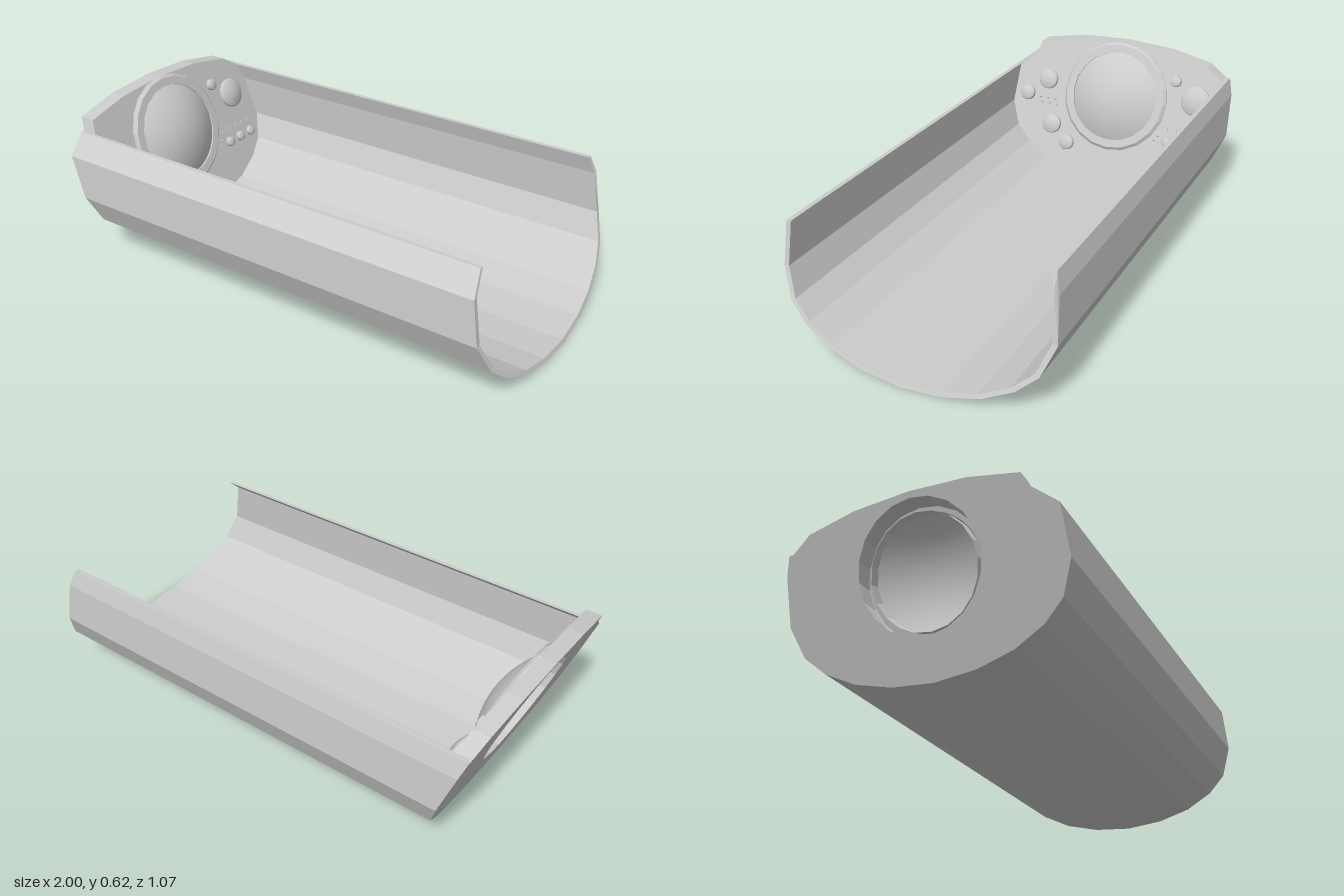
import * as THREE from 'three';

const LEAN = 0.355;                    // how far the ends lean back per unit of height
const TILT = Math.atan(LEAN);
const COS = Math.cos(TILT), SIN = Math.sin(TILT);
const PANEL = 0.064;                   // panel thickness along x
const leftEnd = (y) => -0.78 - LEAN * y;

// Open end of the trough: x against height
const END = [[0, 1], [0.2, 0.92], [0.29, 0.89], [0.455, 0.865], [0.52, 0.84]];
function rightEnd(y) {
  let i = 1;
  while (i < END.length - 1 && y > END[i][0]) i++;
  const [y0, x0] = END[i - 1], [y1, x1] = END[i];
  return x0 + (x1 - x0) * (y - y0) / (y1 - y0);
}

// Half of the lower cross-section as [z, y], from side wall to keel
const HALF = [[0.525, 0.45], [0.535, 0.28], [0.49, 0.17], [0.415, 0.105], [0.3, 0.05], [0.16, 0.016]];
const OUTER = [
  [0.44, 0.517], ...HALF, [0, 0.003],
  ...HALF.map(([z, y]) => [-z, y]).reverse(), [-0.505, 0.52],
];
const INNER = OUTER.map(([z, y]) => [z * 0.963, y < 0.3 ? 0.3 + (y - 0.3) * 0.95 : y]);

const toShape = (pts) => new THREE.Shape(pts.map(([z, y]) => new THREE.Vector2(-z, y)));

// Extrude a z-y outline along x and place both ends by a rule of height
function extrudeBetween(shape, from, to) {
  const g = new THREE.ExtrudeGeometry(shape, { depth: 1, bevelEnabled: false, curveSegments: 10 });
  g.rotateY(Math.PI / 2);
  const p = g.attributes.position;
  for (let i = 0; i < p.count; i++) {
    const y = p.getY(i);
    p.setX(i, p.getX(i) > 0.5 ? to(y) : from(y));
  }
  g.computeVertexNormals();
  return g;
}

export function createModel() {
  const model = new THREE.Group();
  model.name = 'troughWithControlPanel';
  const flat = new THREE.MeshStandardMaterial({ color: 0xcccccc, flatShading: true, side: THREE.DoubleSide });
  const smooth = new THREE.MeshStandardMaterial({ color: 0xcccccc, side: THREE.DoubleSide });

  const add = (parent, name, geometry, material) => {
    const mesh = new THREE.Mesh(geometry, material);
    mesh.name = name;
    parent.add(mesh);
    return mesh;
  };

  // Faceted trough with one folded rim
  add(model, 'trough', extrudeBetween(toShape([...OUTER, ...[...INNER].reverse()]), leftEnd, rightEnd), flat);

  // Leaning end panel with a round opening
  const top = [[-0.41, 0.57], [-0.22, 0.604], [0, 0.615], [0.22, 0.604], [0.41, 0.57]];
  const panelShape = toShape([...INNER, ...top]);
  const opening = new THREE.Path();
  opening.absellipse(0, 0.372, 0.235, 0.235 * COS, 0, Math.PI * 2, true);
  panelShape.holes.push(opening);
  add(model, 'endPanel', extrudeBetween(panelShape, leftEnd, (y) => leftEnd(y) + PANEL), flat);

  // Fittings sit in the tilted frame of the panel: local x is its normal
  const fittings = new THREE.Group();
  fittings.name = 'panelFittings';
  fittings.position.x = -0.78;
  fittings.rotation.z = TILT;
  model.add(fittings);
  const face = PANEL * COS;
  const place = (mesh, z, y) => mesh.position.set(face, (y - SIN * face) / COS, z);
  const lathe = (pts, sides) =>
    new THREE.LatheGeometry(pts.map(([r, h]) => new THREE.Vector2(r, h)), sides).rotateZ(-Math.PI / 2);
  const cap = (r, base, height, n = 8) => Array.from({ length: n + 1 }, (_, i) => {
    const k = 1 - i / n;
    return [r * k, base + height * (1 - k * k)];
  });

  // Large dome in a chamfered ring
  place(add(fittings, 'domeRing', lathe([[0.252, -0.005], [0.252, 0.005], [0.24, 0.016], [0.205, 0.016], [0.205, -0.03]], 20), flat), 0, 0.38);
  place(add(fittings, 'dome', lathe(cap(0.206, 0.008, 0.06, 12), 40), smooth), 0, 0.384);

  // Round knobs: z, y, radius
  const knobs = [
    [-0.385, 0.42, 0.066], [-0.28, 0.49, 0.025], [0.345, 0.405, 0.046], [0.443, 0.33, 0.036],
    [0.295, 0.21, 0.046], [0.205, 0.14, 0.036],
    [-0.283, 0.226, 0.022], [-0.357, 0.226, 0.022], [-0.431, 0.226, 0.022],
  ];
  for (const [z, y, r] of knobs) {
    place(add(fittings, 'knobSide', lathe([[r, -0.01], [r, 0.012], [r * 0.93, 0.016]], 24), flat), z, y);
    place(add(fittings, 'knobCap', lathe(cap(r * 0.93, 0.016, r * 0.22), 24), smooth), z, y);
  }

  // Indicator dots
  for (const [z, y] of [[0.375, 0.322], [0.336, 0.322], [0.298, 0.322], [-0.237, 0.246], [-0.22, 0.226]]) {
    place(add(fittings, 'indicatorDot', lathe(cap(0.006, 0, 0.006, 4), 10), smooth), z, y);
  }

  // Small bar buttons
  const bars = [0.373, 0.335, 0.297].map((z) => [z, 0.297])
    .concat([-0.264, -0.309, -0.354, -0.399, -0.444].map((z) => [z, 0.28]));
  for (const [z, y] of bars) {
    place(add(fittings, 'barButton', new THREE.BoxGeometry(0.016, 0.011, 0.027), flat), z, y);
  }
  return model;
}
